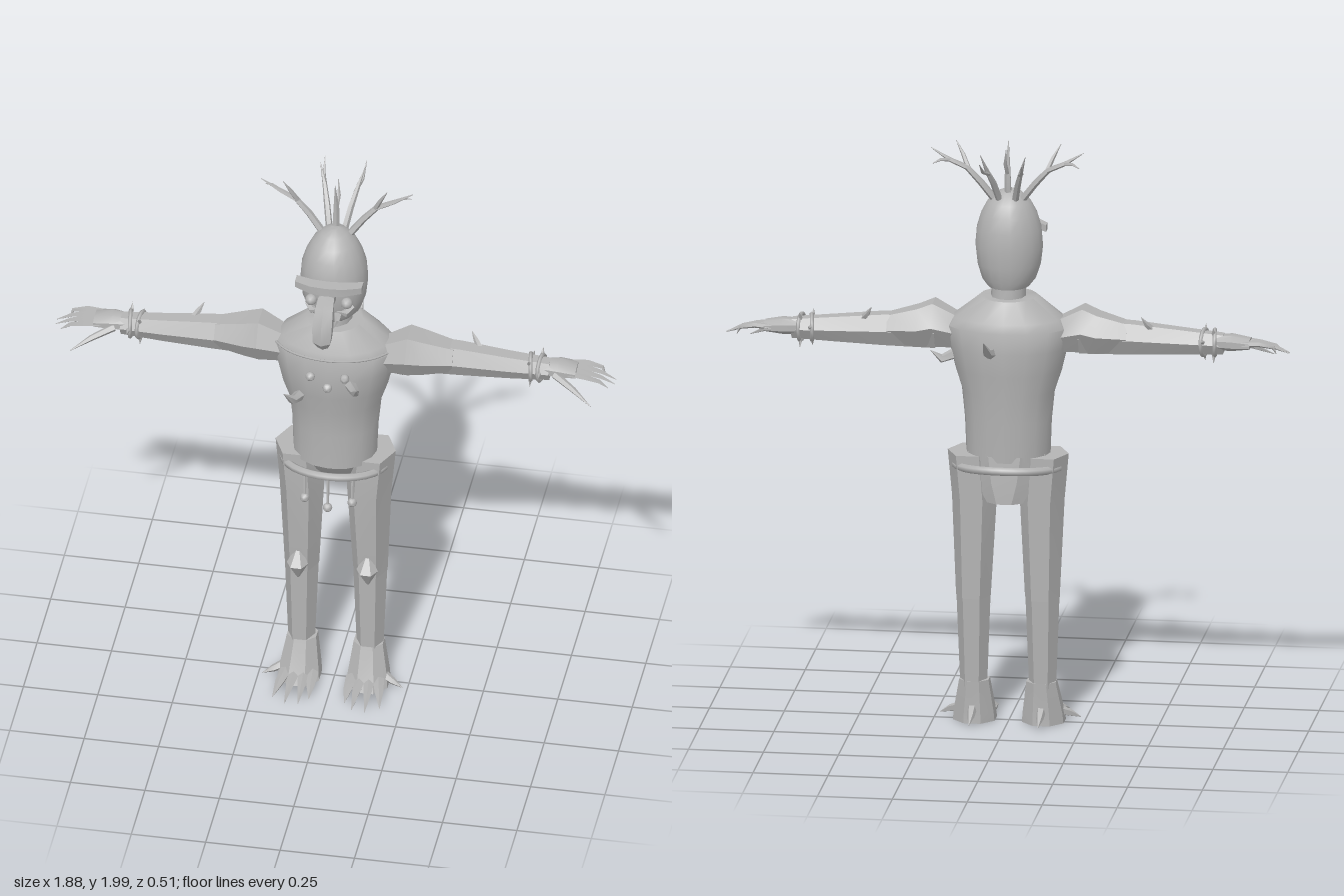
import * as THREE from 'three';
import { toCreasedNormals, mergeGeometries } from 'three/addons/utils/BufferGeometryUtils.js';

const V = (a) => new THREE.Vector3(a[0], a[1], a[2]);

// Skin rings [x, y, z, ra, rb] along a path; a fixed axis keeps all rings parallel.
function sweep(rows, n = 6, { ref = [0, 0, 1], axis = null, phase = 0, crease = 0.6 } = {}) {
  const pos = [], idx = [], last = rows.length - 1;
  rows.forEach((r, i) => {
    const t = axis ? V(axis) : V(rows[Math.min(i + 1, last)]).sub(V(rows[Math.max(i - 1, 0)])).normalize();
    const u = t.clone().cross(V(ref)).normalize();
    const v = u.clone().cross(t);
    for (let j = 0; j < n; j++) {
      const a = phase + (j / n) * Math.PI * 2;
      const p = V(r).addScaledVector(u, r[3] * Math.cos(a)).addScaledVector(v, (r[4] ?? r[3]) * Math.sin(a));
      pos.push(p.x, p.y, p.z);
    }
  });
  for (let i = 0; i < last; i++) for (let j = 0; j < n; j++) {
    const a = i * n + j, b = i * n + ((j + 1) % n);
    idx.push(a, a + n, b, b, a + n, b + n);
  }
  for (let j = 1; j < n - 1; j++) {
    const k = last * n;
    idx.push(0, j, j + 1, k, k + j + 1, k + j);
  }
  const g = new THREE.BufferGeometry();
  g.setAttribute('position', new THREE.Float32BufferAttribute(pos, 3));
  g.setIndex(idx);
  return toCreasedNormals(g, crease);
}

// Pointed thorn through three points, slightly curved
function thorn(a, b, c, r) {
  return sweep([[...a, r], [...b, r * 0.75], [...c, 0.001]], 5, { ref: [0.3, 1, 0.1] });
}

// Mirror in x and restore the winding
function mirrored(geo) {
  const g = geo.clone().scale(-1, 1, 1);
  for (const name of ['position', 'normal']) {
    const at = g.attributes[name];
    for (let i = 0; i < at.count; i += 3) for (let k = 0; k < 3; k++) {
      const q = at.getComponent(i + 1, k);
      at.setComponent(i + 1, k, at.getComponent(i + 2, k));
      at.setComponent(i + 2, k, q);
    }
  }
  return g;
}

function bead(x, y, z, r) {
  return toCreasedNormals(new THREE.IcosahedronGeometry(r, 1).translate(x, y, z), 1);
}

export function createModel() {
  const root = new THREE.Group();
  root.name = 'forestCreature';
  const clay = new THREE.MeshStandardMaterial({ color: 0xb4b4b4 });
  clay.name = 'clayGrey';
  const add = (name, geo) => {
    const m = new THREE.Mesh(geo, clay);
    m.name = name;
    root.add(m);
  };
  const pair = (name, geo) => {
    add('left' + name, geo);
    add('right' + name, mirrored(geo));
  };
  const up = { axis: [0, 1, 0] };
  const out = { axis: [1, 0, 0], ref: [0, 1, 0] };

  // Trunk
  add('torso', sweep([
    [0, 0.92, -0.012, 0.14, 0.11], [0, 1.05, -0.015, 0.145, 0.115], [0, 1.15, -0.015, 0.155, 0.122],
    [0, 1.22, -0.01, 0.178, 0.135], [0, 1.3, -0.01, 0.197, 0.143], [0, 1.37, -0.01, 0.208, 0.138],
    [0, 1.4, -0.01, 0.185, 0.13], [0, 1.47, -0.01, 0.095, 0.095]], 16, { ...up, crease: 0.75 }));
  add('pelvis', sweep([
    [0, 0.78, -0.085, 0.065, 0.045], [0, 0.85, -0.05, 0.11, 0.08], [0, 0.94, -0.015, 0.14, 0.11]], 8,
  { ...up, phase: Math.PI / 8 }));
  add('neck', sweep([[0, 1.45, -0.01, 0.06, 0.068], [0, 1.53, -0.01, 0.055, 0.062]], 10, { ...up, crease: 0.8 }));

  // Head
  add('head', sweep([
    [0, 1.505, -0.005, 0.07, 0.08], [0, 1.53, 0, 0.09, 0.095], [0, 1.58, 0.003, 0.106, 0.107],
    [0, 1.64, 0.005, 0.113, 0.113], [0, 1.7, 0.005, 0.108, 0.11], [0, 1.75, 0.004, 0.093, 0.097],
    [0, 1.79, 0.002, 0.072, 0.077], [0, 1.82, 0, 0.043, 0.048], [0, 1.834, 0, 0.012, 0.014]], 18,
  { ...up, crease: 0.8 }));
  add('brow', sweep([
    [-0.112, 1.675, 0.1, 0.026, 0.016], [-0.055, 1.685, 0.135, 0.03, 0.02], [0, 1.688, 0.145, 0.03, 0.022],
    [0.055, 1.685, 0.135, 0.03, 0.02], [0.112, 1.675, 0.1, 0.026, 0.016]], 4, { ...out, phase: Math.PI / 4 }));
  add('nose', sweep([
    [0, 1.63, 0.1, 0.022, 0.028], [0, 1.645, 0.15, 0.025, 0.03], [0, 1.625, 0.19, 0.03, 0.035],
    [0, 1.58, 0.22, 0.034, 0.038], [0, 1.535, 0.225, 0.03, 0.034], [0, 1.505, 0.212, 0.016, 0.02]], 6, { ref: [1, 0, 0] }));
  pair('Eye', bead(0.06, 1.61, 0.105, 0.02));
  pair('Cheek', thorn([0.07, 1.58, 0.08], [0.055, 1.57, 0.11], [0.03, 1.59, 0.13], 0.016));
  pair('Tooth', thorn([0.03, 1.56, 0.1], [0.03, 1.545, 0.12], [0.022, 1.52, 0.125], 0.012));

  // Antlers: a stem with a tine on each
  pair('SideAntler', mergeGeometries([
    sweep([[0.045, 1.8, -0.02, 0.013], [0.09, 1.86, -0.03, 0.012], [0.135, 1.91, -0.035, 0.01],
      [0.19, 1.935, -0.04, 0.008], [0.255, 1.975, -0.04, 0.001]], 5),
    sweep([[0.13, 1.905, -0.035, 0.009], [0.15, 1.95, -0.02, 0.007], [0.175, 1.995, -0.01, 0.001]], 5),
    sweep([[0.19, 1.935, -0.04, 0.007], [0.22, 1.94, -0.06, 0.005], [0.245, 1.93, -0.075, 0.001]], 5)]));
  pair('BackAntler', mergeGeometries([
    sweep([[0.025, 1.8, -0.04, 0.012], [0.04, 1.87, -0.08, 0.011], [0.055, 1.92, -0.12, 0.008],
      [0.075, 1.985, -0.15, 0.001]], 5),
    sweep([[0.05, 1.91, -0.11, 0.007], [0.065, 1.93, -0.16, 0.006], [0.07, 1.97, -0.21, 0.001]], 5)]));
  add('crownAntler', mergeGeometries([
    sweep([[0, 1.81, -0.02, 0.013], [0, 1.9, -0.03, 0.01], [0, 2, -0.01, 0.001]], 5),
    sweep([[0, 1.89, -0.03, 0.007], [0.005, 1.93, -0.055, 0.006], [0, 1.985, -0.07, 0.001]], 5)]));

  // Arms
  pair('Shoulder', sweep([
    [0.16, 1.34, -0.005, 0.06, 0.06], [0.25, 1.365, -0.005, 0.085, 0.085],
    [0.3, 1.355, -0.015, 0.078, 0.075], [0.4, 1.348, -0.02, 0.055, 0.052]], 6, out));
  pair('Arm', sweep([
    [0.24, 1.345, -0.02, 0.058, 0.066], [0.42, 1.343, -0.022, 0.052, 0.06],
    [0.58, 1.338, -0.022, 0.044, 0.048], [0.72, 1.335, -0.025, 0.038, 0.037]], 6, out));
  pair('Hand', sweep([
    [0.69, 1.34, -0.028, 0.034, 0.026], [0.75, 1.342, -0.03, 0.046, 0.028], [0.81, 1.34, -0.03, 0.045, 0.018]], 8,
  { ...out, phase: Math.PI / 8 }));
  const fingers = [0, 1, 2, 3].map((i) => {
    const z = -0.063 + i * 0.022, len = [0.9, 0.94, 0.94, 0.92][i];
    return sweep([[0.785, 1.343, z, 0.01], [0.84, 1.348 - i * 0.004, z, 0.01],
      [0.89, 1.338 - i * 0.004, z + 0.002, 0.007], [len, 1.315 - i * 0.003, z + 0.005, 0.001]], 5);
  });
  fingers.push(thorn([0.74, 1.335, 0.005], [0.81, 1.31, 0.045], [0.875, 1.275, 0.08], 0.014));
  pair('Fingers', mergeGeometries(fingers));
  pair('ArmThorn', thorn([0.48, 1.38, -0.04], [0.465, 1.4, -0.055], [0.45, 1.425, -0.065], 0.012));

  // Thorned wrist bands
  const bands = [];
  for (const [x, tilt] of [[0.655, 0.15], [0.69, -0.12]]) {
    bands.push(new THREE.TorusGeometry(0.045, 0.007, 5, 12).toNonIndexed().rotateY(Math.PI / 2 + tilt)
      .translate(x, 1.337, -0.024));
    for (let k = 0; k < 3; k++) {
      const a = k * 2.1 + tilt * 5;
      bands.push(new THREE.ConeGeometry(0.008, 0.03, 5).toNonIndexed().translate(0, 0.057, 0).rotateX(a)
        .translate(x, 1.337, -0.024));
    }
  }
  pair('WristBands', mergeGeometries(bands));

  // Legs
  pair('Thigh', sweep([
    [0.115, 0.44, -0.028, 0.058, 0.068], [0.113, 0.78, -0.017, 0.075, 0.092],
    [0.125, 0.935, -0.02, 0.077, 0.094]], 6, up));
  pair('Shin', sweep([[0.115, 0.13, -0.022, 0.045, 0.05], [0.115, 0.47, -0.026, 0.058, 0.066]], 6, up));
  pair('KneeSpike', sweep([
    [0.117, 0.415, 0.03, 0.004], [0.117, 0.48, 0.042, 0.036, 0.038], [0.117, 0.54, 0.025, 0.004]], 6, up));

  // Feet with claws and a heel spur
  pair('Foot', sweep([
    [0.115, 0.006, 0.01, 0.075, 0.08], [0.115, 0.04, 0.002, 0.072, 0.07],
    [0.112, 0.152, -0.022, 0.053, 0.05]], 8, { ...up, phase: Math.PI / 8 }));
  const toes = [[0.065, 0.06, 0.15], [0.095, 0.09, 0.185], [0.125, 0.135, 0.19], [0.155, 0.18, 0.16]].map(
    ([x, tx, z]) => thorn([x, 0.035, 0.04], [(x + tx) / 2, 0.026, 0.1], [tx, 0.008, z], 0.02));
  toes.push(thorn([0.16, 0.045, 0.01], [0.2, 0.03, 0.03], [0.235, 0.014, 0.04], 0.017));
  toes.push(thorn([0.115, 0.06, -0.05], [0.115, 0.04, -0.09], [0.115, 0.02, -0.135], 0.017));
  pair('Toes', mergeGeometries(toes));

  // Belt with hanging beads
  const ring = [];
  for (let i = 0; i < 16; i++) {
    const a = (i / 16) * Math.PI * 2;
    ring.push(new THREE.Vector3(0.175 * Math.sin(a), 0.892 + 0.012 * Math.cos(a) ** 2, -0.02 + 0.142 * Math.cos(a)));
  }
  add('belt', new THREE.TubeGeometry(new THREE.CatmullRomCurve3(ring, true), 32, 0.014, 6, true));
  for (const [x, y, z] of [[-0.08, 0.805, 0.115], [0, 0.785, 0.13], [0.08, 0.805, 0.115]]) {
    add('beadCord', sweep([[x, y, z, 0.005], [x, 0.895, z - 0.01, 0.005]], 5, up));
    add('hangingBead', bead(x, y, z, 0.016));
  }

  // Necklace cord and chest buds
  const cord = [];
  for (let i = -4; i <= 4; i++) {
    const a = i * 0.28;
    cord.push(new THREE.Vector3(0.209 * Math.sin(a), 1.385, -0.01 + 0.143 * Math.cos(a)));
  }
  add('necklace', new THREE.TubeGeometry(new THREE.CatmullRomCurve3(cord), 24, 0.004, 5));
  for (const [x, y] of [[-0.058, 1.315], [0, 1.275], [0.058, 1.32]]) add('chestBud', bead(x, y, 0.133, 0.016));

  // Thorns on chest, side and back
  add('chestThorn', thorn([0.075, 1.285, 0.12], [0.1, 1.295, 0.17], [0.112, 1.335, 0.215], 0.02));
  add('chestThorn', thorn([-0.1, 1.21, 0.1], [-0.115, 1.22, 0.145], [-0.138, 1.265, 0.18], 0.02));
  add('sideThorn', thorn([0.17, 1.27, -0.03], [0.22, 1.25, -0.04], [0.255, 1.28, -0.05], 0.02));
  add('backThorn', thorn([0.04, 1.3, -0.13], [0.045, 1.315, -0.19], [0.05, 1.37, -0.255], 0.02));
  return root;
}
